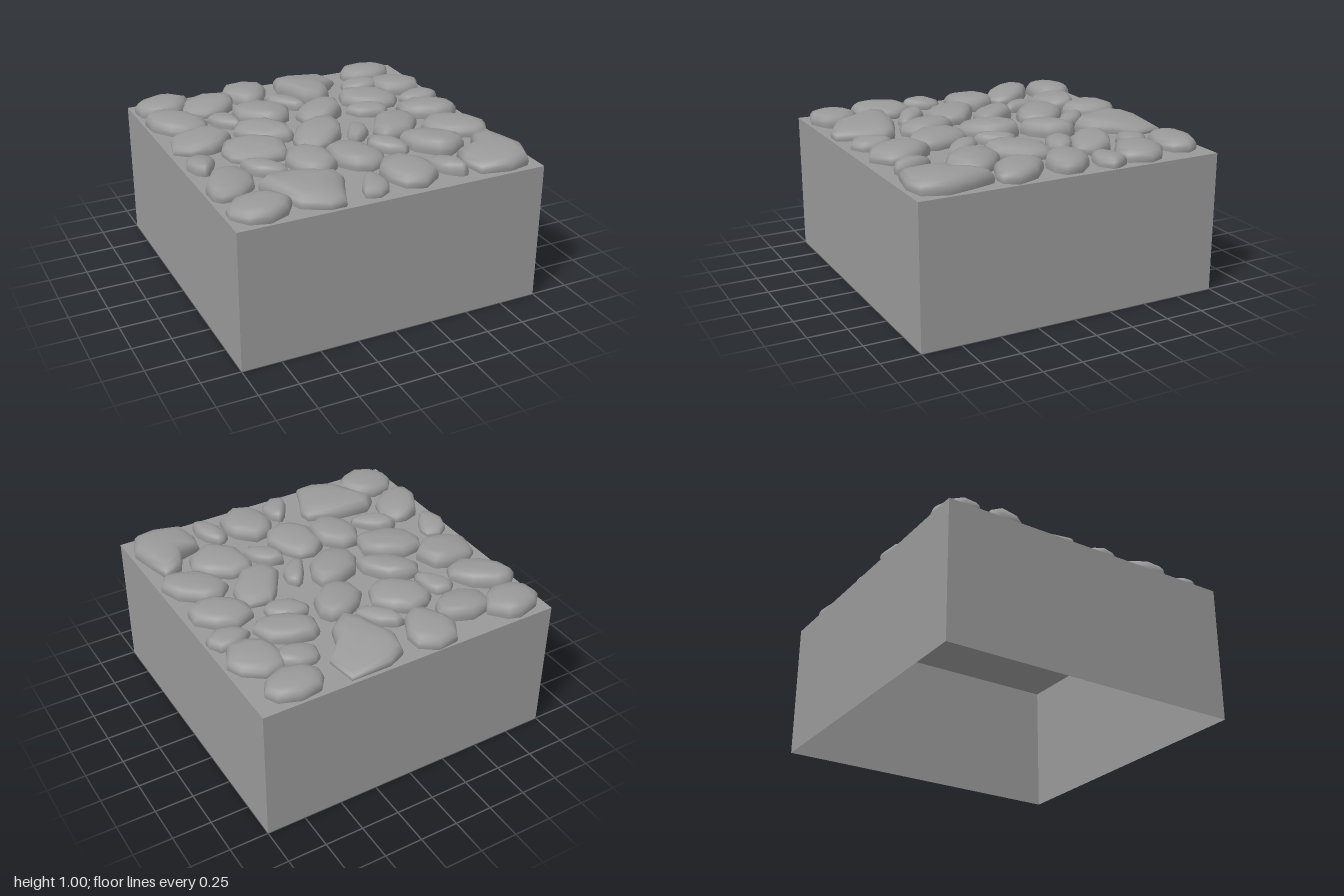
import * as THREE from 'three';

const TOP = 0.9;      // height of the flat ground the stones sit on
const CORNERS = 9;    // corners of each stone outline

// Stones: x, z, half width, half depth, diagonal lean, direction of a narrow end (degrees, optional)
const backStones = [
  [-0.80, -0.84, 0.185, 0.145, 0], [-0.52, -0.72, 0.185, 0.14, 0], [-0.215, -0.81, 0.155, 0.19, 0, 90],
  [0.73, -0.85, 0.185, 0.135, 0], [0.82, -0.55, 0.165, 0.165, 0.1], [-0.81, -0.5, 0.18, 0.185, 0.22],
  [-0.235, -0.445, 0.18, 0.175, 0.15], [0.515, -0.39, 0.185, 0.155, 0.2], [0.11, -0.3, 0.17, 0.16, -0.15],
  [-0.78, -0.17, 0.2, 0.155, 0], [-0.365, -0.15, 0.17, 0.16, 0.25], [0.785, -0.065, 0.18, 0.155, 0.18],
];
const frontStones = [
  [-0.515, 0.085, 0.2, 0.17, 0.15], [-0.06, 0.035, 0.18, 0.18, -0.2], [0.455, 0.085, 0.18, 0.185, -0.2],
  [0.8, 0.275, 0.19, 0.18, 0.2], [-0.825, 0.465, 0.16, 0.18, -0.15], [-0.275, 0.38, 0.14, 0.185, 0.1],
  [0.015, 0.425, 0.155, 0.205, 0.08], [0.555, 0.445, 0.18, 0.185, 0.15], [-0.79, 0.825, 0.19, 0.16, 0],
  [0.19, 0.765, 0.155, 0.2, 0.05],
];
const smallStones = [
  [0.58, -0.645, 0.13, 0.095, 0.1], [-0.52, -0.435, 0.09, 0.125, 0.25, 70], [-0.02, -0.565, 0.11, 0.125, 0.4],
  [0.85, -0.29, 0.135, 0.09, 0, 180], [0.415, -0.21, 0.13, 0.1, 0.2], [-0.885, 0.14, 0.093, 0.13, -0.1, 90],
  [0.175, 0.1, 0.095, 0.125, -0.3, 270], [-0.56, 0.36, 0.123, 0.115, 0.35], [0.26, 0.375, 0.107, 0.125, 0.3],
  [-0.085, 0.835, 0.095, 0.13, -0.2, 270], [0.445, 0.79, 0.085, 0.13, 0.25],
];
// Three big stones with bent outlines
const bigStones = [
  [[0.01, -0.80], [0.04, -0.93], [0.155, -0.98], [0.42, -0.98], [0.45, -0.78],
    [0.34, -0.67], [0.30, -0.55], [0.19, -0.47], [0.11, -0.55], [0.07, -0.66]],
  [[-0.70, 0.58], [-0.63, 0.52], [-0.41, 0.54], [-0.21, 0.62], [-0.20, 0.70],
    [-0.26, 0.83], [-0.32, 0.98], [-0.42, 0.98], [-0.57, 0.90], [-0.63, 0.75]],
  [[0.56, 0.78], [0.58, 0.67], [0.72, 0.63], [0.78, 0.51], [0.90, 0.48],
    [0.94, 0.62], [0.98, 0.80], [0.92, 0.95], [0.78, 0.98], [0.59, 0.94]],
];

// Stone cross-section: outline scale, share of the height
const profile = [[0.98, 0], [1, 0.25], [0.97, 0.5], [0.86, 0.77], [0.62, 0.93], [0.3, 0.99]];

let seed = 7;
const random = () => {
  seed = (seed * 16807) % 2147483647;
  return seed / 2147483647;
};

// Irregular outline, leaned and narrowed, then fitted to its width and depth
function outline([x, z, hx, hz, lean, tip]) {
  const start = random() * 6;
  const points = [];
  for (let i = 0; i < CORNERS; i++) {
    const a = start + ((i + (random() - 0.5) * 0.55) / CORNERS) * Math.PI * 2;
    const r = 0.96 + random() * 0.12;
    let px = Math.cos(a) * r, pz = Math.sin(a) * r;
    if (tip !== undefined) {
      const t = THREE.MathUtils.degToRad(tip), c = Math.cos(t), s = Math.sin(t);
      const along = px * c + pz * s;
      const across = (pz * c - px * s) * (1 - 0.35 * along);
      px = along * c - across * s;
      pz = along * s + across * c;
    }
    points.push([px + lean * pz, pz + lean * px]);
  }
  const fit = (k, centre, half) => {
    const values = points.map((p) => p[k]);
    const low = Math.min(...values), high = Math.max(...values);
    points.forEach((p) => { p[k] = centre + half * (((p[k] - low) / (high - low)) * 2 - 1); });
  };
  fit(0, x, hx);
  fit(1, z, hz);
  return points;
}

// Rounded stone: rings of the outline closed by a top point
function stoneGeometry(points, height) {
  const n = points.length;
  const cx = points.reduce((sum, p) => sum + p[0], 0) / n;
  const cz = points.reduce((sum, p) => sum + p[1], 0) / n;
  const tiltX = (random() - 0.5) * 0.25, tiltZ = (random() - 0.5) * 0.25;
  const position = [], index = [];
  for (const [scale, level] of profile) {
    for (const [px, pz] of points) {
      const dx = (px - cx) * scale, dz = (pz - cz) * scale;
      const y = Math.min(height, height * level + (dx * tiltX + dz * tiltZ) * level);
      position.push(cx + dx, TOP + y, cz + dz);
    }
  }
  position.push(cx, TOP + height, cz);
  const apex = profile.length * n;
  for (let k = 0; k < profile.length; k++) {
    for (let i = 0; i < n; i++) {
      const a = k * n + i, b = k * n + ((i + 1) % n);
      if (k === profile.length - 1) index.push(a, apex, b);
      else index.push(a, a + n, b, b, a + n, b + n);
    }
  }
  const geometry = new THREE.BufferGeometry();
  geometry.setAttribute('position', new THREE.Float32BufferAttribute(position, 3));
  geometry.setIndex(index);
  geometry.computeVertexNormals();
  return geometry;
}

export function createModel() {
  const model = new THREE.Group();
  model.name = 'cobblestoneBlock';
  const stoneGrey = new THREE.MeshStandardMaterial({ color: 0x999999, side: THREE.DoubleSide });
  stoneGrey.name = 'stone grey';

  // Hollow block without a floor
  const block = new THREE.BoxGeometry(2, TOP, 2);
  const faces = Array.from(block.index.array);
  faces.splice(18, 6);
  block.setIndex(faces);
  block.clearGroups();
  const base = new THREE.Mesh(block, stoneGrey);
  base.name = 'base';
  base.position.y = TOP / 2;
  model.add(base);

  // Cobblestones
  const stones = new THREE.Group();
  stones.name = 'cobblestones';
  const addStone = (name, points, height) => {
    const mesh = new THREE.Mesh(stoneGeometry(points, height), stoneGrey);
    mesh.name = name;
    stones.add(mesh);
  };
  bigStones.forEach((points) => addStone('bigStone', points, 0.1));
  [...backStones, ...frontStones].forEach((s) => addStone('stone', outline(s), 0.085 + random() * 0.015));
  smallStones.forEach((s) => addStone('smallStone', outline(s), 0.065 + random() * 0.015));
  model.add(stones);
  return model;
}
